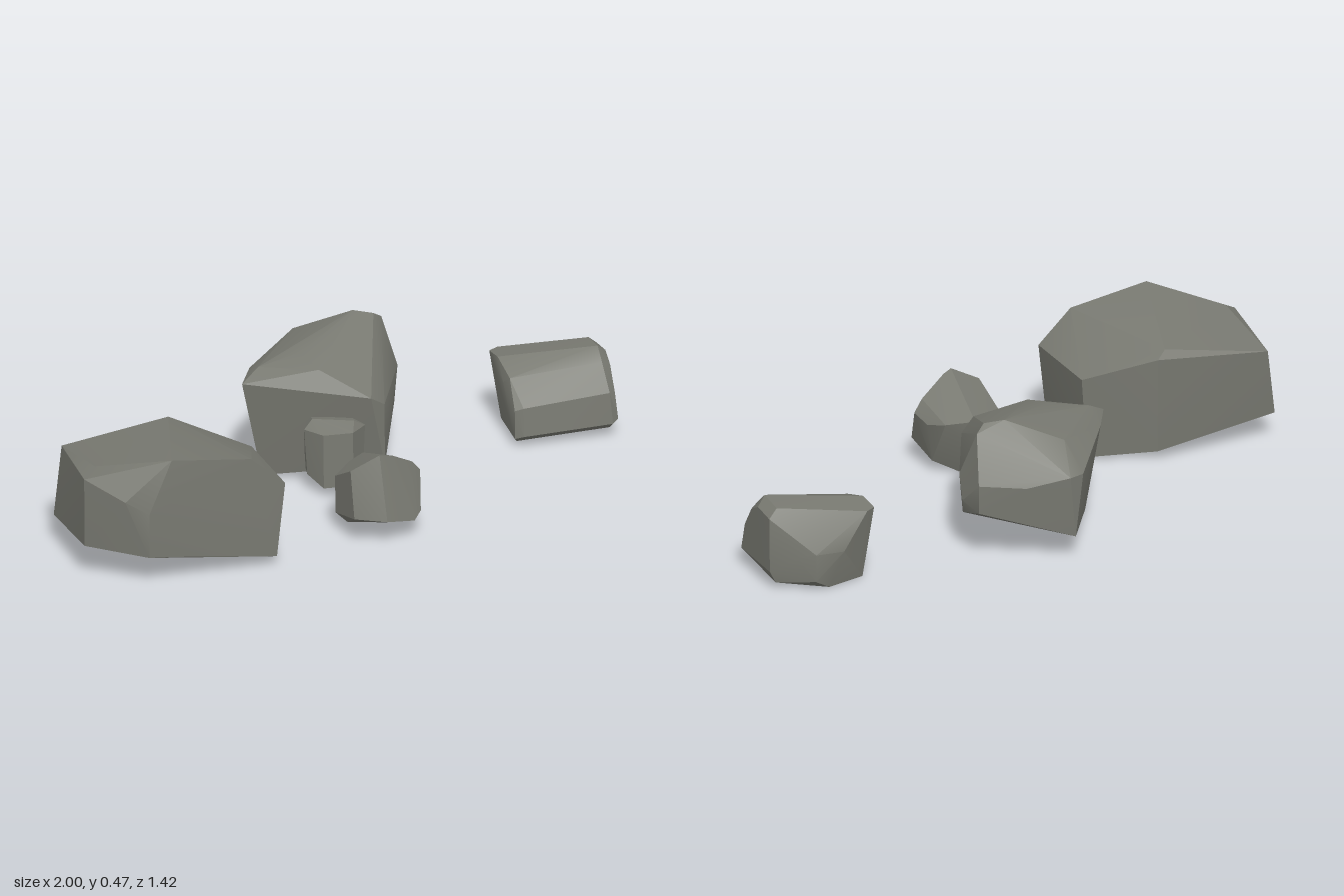
import * as THREE from 'three';
import { ConvexGeometry } from 'three/addons/geometries/ConvexGeometry.js';
import { toCreasedNormals } from 'three/addons/utils/BufferGeometryUtils.js';

const stone = new THREE.MeshStandardMaterial({ color: 0x787971 });
stone.name = 'grey stone';

// A rock is the hull of a few corner points, with soft shading over shallow edges
function rock(name, corners) {
  const hull = new ConvexGeometry(corners.map((c) => new THREE.Vector3(...c)));
  const mesh = new THREE.Mesh(toCreasedNormals(hull, 0.4), stone);
  mesh.name = name;
  return mesh;
}

export function createModel() {
  const group = new THREE.Group();
  group.name = 'rocks';

  // Wide slab with a sloping top
  group.add(rock('wideRock', [
    [-1, 0.09, 0.27], [-0.93, 0.11, 0.6], [-0.72, 0.1, 0.705], [-0.63, 0.09, 0.68],
    [-0.27, 0.03, 0.57], [-0.34, 0, 0.23], [-0.57, 0.03, 0.16],
    [-0.97, 0.33, 0.24], [-0.57, 0.37, 0.15], [-0.32, 0.29, 0.22], [-0.24, 0.29, 0.55],
    [-0.93, 0.35, 0.59], [-0.72, 0.26, 0.71], [-0.8, 0.3, 0.69],
    [-0.89, 0.38, 0.55], [-0.64, 0.44, 0.67], [-0.36, 0.4, 0.59], [-0.6, 0.395, 0.18],
  ]));

  // Tall rock with a flat front and undercut base
  group.add(rock('tallRock', [
    [-0.24, 0, -0.21], [0.17, 0.06, -0.11], [0.24, 0.14, -0.47], [0.21, 0.18, -0.59], [-0.12, 0.08, -0.62],
    [-0.31, 0.35, -0.18], [0.12, 0.32, -0.08], [0.17, 0.28, -0.12],
    [0.25, 0.28, -0.46], [0.25, 0.2, -0.51], [0.21, 0.28, -0.59], [0.05, 0.27, -0.62], [-0.1, 0.3, -0.63],
    [-0.15, 0.3, -0.6], [-0.27, 0.35, -0.32],
    [-0.25, 0.39, -0.23], [-0.05, 0.4, -0.16], [-0.1, 0.425, -0.26],
    [0.1, 0.475, -0.49], [0.17, 0.465, -0.48], [0.2, 0.44, -0.51], [-0.1, 0.4, -0.53],
  ]));

  // Small stone leaning on the tall rock
  group.add(rock('leaningPebble', [
    [-0.06, 0.0, -0.2], [0.07, 0.01, -0.22], [-0.09, 0.02, -0.24], [0.07, 0.06, -0.245],
    [-0.05, 0.03, 0], [0.05, 0.04, 0.01], [-0.1, 0.06, -0.06], [0.09, 0.05, -0.06],
    [-0.05, 0.22, -0.01], [0.05, 0.23, 0], [-0.11, 0.22, -0.07], [0.1, 0.22, -0.09],
    [-0.08, 0.25, -0.09], [0.06, 0.25, -0.06], [0.06, 0.22, -0.2], [-0.08, 0.22, -0.2],
  ]));

  // Pointed stone at the front
  group.add(rock('pointedPebble', [
    [0.11, 0, 0.2], [0.2, 0.04, 0.22], [0.0, 0.03, 0.3], [0.12, 0.085, 0.445], [0.01, 0.09, 0.42],
    [0.22, 0.06, 0.38], [0.245, 0.08, 0.34], [-0.04, 0.06, 0.28], [0.07, 0.1, 0.14],
    [-0.04, 0.19, 0.27], [0.0, 0.255, 0.39], [0.1, 0.305, 0.38], [0.13, 0.295, 0.36],
    [0.22, 0.24, 0.29], [0.25, 0.2, 0.27], [0.07, 0.21, 0.125], [0.17, 0.2, 0.14], [0.22, 0.18, 0.2],
    [0.02, 0.19, 0.15],
  ]));

  // Separate block with a sloped front and rounded back
  group.add(rock('blockRock', [
    [0.62, 0, -0.62], [0.65, 0.01, -0.39], [0.97, 0.03, -0.43], [0.93, 0.02, -0.66], [0.75, 0, -0.69],
    [0.64, 0.03, -0.36], [0.67, 0.04, -0.35], [0.98, 0.05, -0.41], [1, 0.06, -0.43], [0.95, 0.06, -0.66],
    [0.64, 0.13, -0.365], [0.67, 0.14, -0.36], [0.97, 0.16, -0.42], [0.99, 0.15, -0.44],
    [0.61, 0.2, -0.46], [0.63, 0.225, -0.43], [0.95, 0.25, -0.48], [0.98, 0.23, -0.5],
    [0.58, 0.25, -0.62], [0.6, 0.26, -0.54], [0.94, 0.29, -0.53], [0.97, 0.26, -0.56],
    [0.61, 0.25, -0.65], [0.92, 0.28, -0.63], [0.95, 0.25, -0.65],
    [0.7, 0.13, -0.7], [0.8, 0.13, -0.715], [0.86, 0.12, -0.7], [0.8, 0.03, -0.71],
  ]));

  return group;
}
